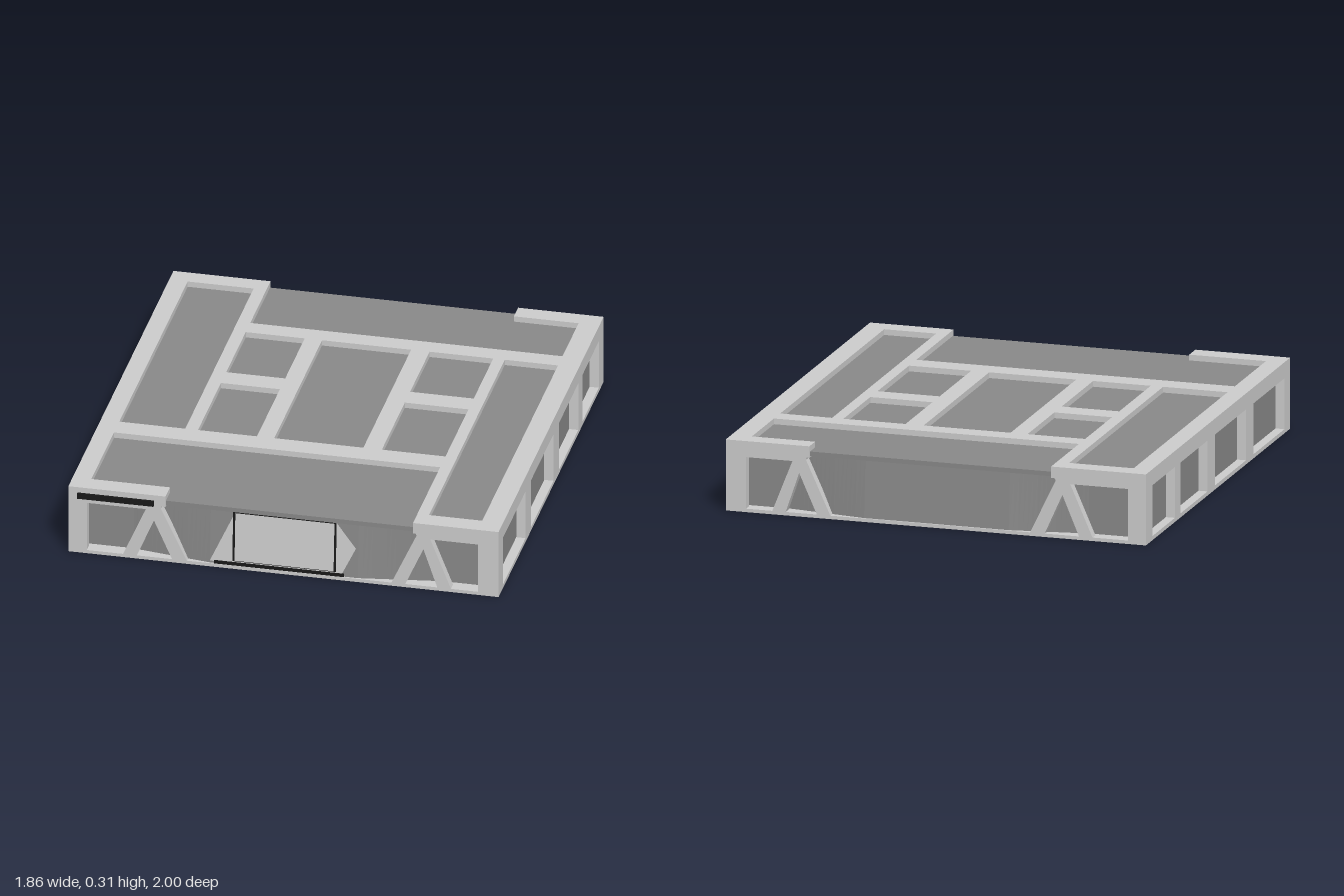
import * as THREE from 'three';

const frameMat = new THREE.MeshStandardMaterial({ color: 0xcccccc });
const panelMat = new THREE.MeshStandardMaterial({ color: 0x888888 });
const wallMat = new THREE.MeshStandardMaterial({ color: 0x888888, side: THREE.DoubleSide });
const doorMat = new THREE.MeshStandardMaterial({ color: 0xcccccc, side: THREE.DoubleSide });
const trimMat = new THREE.MeshStandardMaterial({ color: 0x181818 });

const X = 0.93, BACK = -1, FRONT = 0.99, TOP = 0.31, ROOF = 0.285, RECESS = 0.04;

function add(parent, name, geometry, material) {
  const mesh = new THREE.Mesh(geometry, material);
  mesh.name = name;
  parent.add(mesh);
  return mesh;
}

// Box given by its lower and upper limits on each axis
function box(parent, name, material, [x0, x1], [y0, y1], [z0, z1]) {
  const g = new THREE.BoxGeometry(x1 - x0, y1 - y0, z1 - z0);
  g.translate((x0 + x1) / 2, (y0 + y1) / 2, (z0 + z1) / 2);
  return add(parent, name, g, material);
}

const points = (list) => list.map(([x, y]) => new THREE.Vector2(x, y));
const rect = (x0, x1, y0, y1) => points([[x0, y0], [x1, y0], [x1, y1], [x0, y1]]);

function extrude(outline, holes, depth) {
  const shape = new THREE.Shape(outline);
  holes.forEach((h) => shape.holes.push(new THREE.Path(h)));
  return new THREE.ExtrudeGeometry(shape, { depth, bevelEnabled: false });
}

// Folded end wall: flat in the middle, leaning out towards its foot
function wallZ(x, y) {
  const fold = THREE.MathUtils.clamp((0.66 - Math.abs(x)) / 0.34, 0, 1);
  return 0.932 + 0.052 * fold * (1 - 0.4 * y / 0.27);
}

function foldOnWall(geometry, offset) {
  const p = geometry.attributes.position;
  for (let i = 0; i < p.count; i++) p.setZ(i, wallZ(p.getX(i), p.getY(i)) + offset);
  const g = geometry.index ? geometry.toNonIndexed() : geometry;
  g.computeVertexNormals();
  return g;
}

// Corner post, top band and splayed A-shaped strut at one side of an end
function endFrame() {
  return extrude(points([
    [-0.93, 0], [-0.85, 0], [-0.85, 0.24], [-0.595, 0.24], [-0.70, 0], [-0.64, 0],
    [-0.56, 0.19], [-0.475, 0], [-0.41, 0], [-0.53, 0.25], [-0.51, TOP], [-0.93, TOP],
  ]), [], RECESS);
}

function buildEnd(name) {
  const end = new THREE.Group();
  end.name = name;
  const wall = new THREE.PlaneGeometry(1.32, 0.26, 66, 1);
  wall.translate(0, 0.145, 0);
  add(end, 'foldedWall', foldOnWall(wall, 0), wallMat);
  return end;
}

export function createModel() {
  const model = new THREE.Group();
  model.name = 'building';

  // Floor slab and the dark panelled core seen through every opening
  box(model, 'floorSlab', frameMat, [-X, X], [0, 0.015], [BACK, FRONT]);
  box(model, 'panelCore', panelMat, [-X + RECESS, X - RECESS], [0.012, ROOF], [-0.94, 0.93]);
  box(model, 'roofPanel', panelMat, [-0.515, 0.565], [0.265, ROOF], [-0.99, 0.98]);

  // Roof frame, notched at both ends; drawn with shape y = -z
  const outline = points([
    [-X, -FRONT], [-0.51, -FRONT], [-0.51, -0.905], [-0.85, -0.905], [-0.85, -0.475],
    [0.56, -0.475], [0.56, -FRONT], [X, -FRONT], [X, -BACK], [0.56, -BACK], [0.56, 0.92],
    [0.84, 0.92], [0.84, 0.615], [-0.51, 0.615], [-0.51, -BACK], [-X, -BACK],
  ]);
  const holes = [
    rect(-0.85, -0.565, -0.375, 0.92),
    rect(-0.18, 0.205, -0.375, 0.53),
    rect(0.61, 0.84, -0.905, 0.53),
  ];
  for (const [x0, x1] of [[-0.51, -0.255], [0.285, 0.56]]) {
    holes.push(rect(x0, x1, 0.16, 0.53), rect(x0, x1, -0.375, 0.06));
  }
  const roof = add(model, 'roofFrame', extrude(outline, holes, 0.05), frameMat);
  roof.rotation.x = -Math.PI / 2;
  roof.position.y = TOP - 0.05;

  // Side frames with four windows each
  const windows = [[-0.91, -0.60], [-0.52, -0.15], [-0.05, 0.38], [0.48, 0.91]];
  const sideShape = extrude(
    rect(-FRONT, -BACK, 0, TOP),
    windows.map(([a, b]) => rect(-b, -a, 0.018, 0.24)), RECESS);
  for (const [name, x] of [['leftSideFrame', X - RECESS], ['rightSideFrame', -X]]) {
    const side = add(model, name, sideShape, frameMat);
    side.rotation.y = Math.PI / 2;
    side.position.x = x;
  }

  // Corner struts at both ends
  const right = endFrame();
  const mirrored = extrude(points([
    [0.93, 0], [0.93, TOP], [0.56, TOP], [0.575, 0.25], [0.46, 0], [0.52, 0],
    [0.605, 0.19], [0.67, 0], [0.73, 0], [0.635, 0.24], [0.84, 0.24], [0.84, 0],
  ]), [], RECESS);
  for (const [end, z] of [['front', FRONT - RECESS], ['back', BACK]]) {
    add(model, end + 'RightStrut', right, frameMat).position.z = z;
    add(model, end + 'LeftStrut', mirrored, frameMat).position.z = z;
  }

  // End walls
  const front = buildEnd('frontEnd');
  const back = buildEnd('backEnd');
  back.rotation.y = Math.PI;
  back.position.z = -0.01;
  model.add(front, back);

  // Entrance: pale six-sided bay with a dark door surround and sill
  const bay = new THREE.ShapeGeometry(new THREE.Shape(points([
    [-0.32, 0.025], [0.25, 0.025], [0.31, 0.15], [0.22, 0.265], [-0.21, 0.265],
  ])));
  add(front, 'entranceBay', foldOnWall(bay, 0.003), doorMat);
  const surround = extrude(rect(-0.222, 0.225, 0.035, 0.264), [rect(-0.213, 0.216, 0.036, 0.256)], 0.003);
  const door = add(front, 'doorSurround', surround, trimMat);
  door.rotation.x = -0.077;
  door.position.z = wallZ(0, 0) + 0.003;
  box(front, 'entranceSill', trimMat, [-0.3, 0.26], [0.014, 0.03], [0.97, 0.988]);

  // Blank sign plate on the front band
  box(model, 'signPlate', trimMat, [-0.89, -0.56], [0.26, 0.285], [0.985, 1]);
  return model;
}
